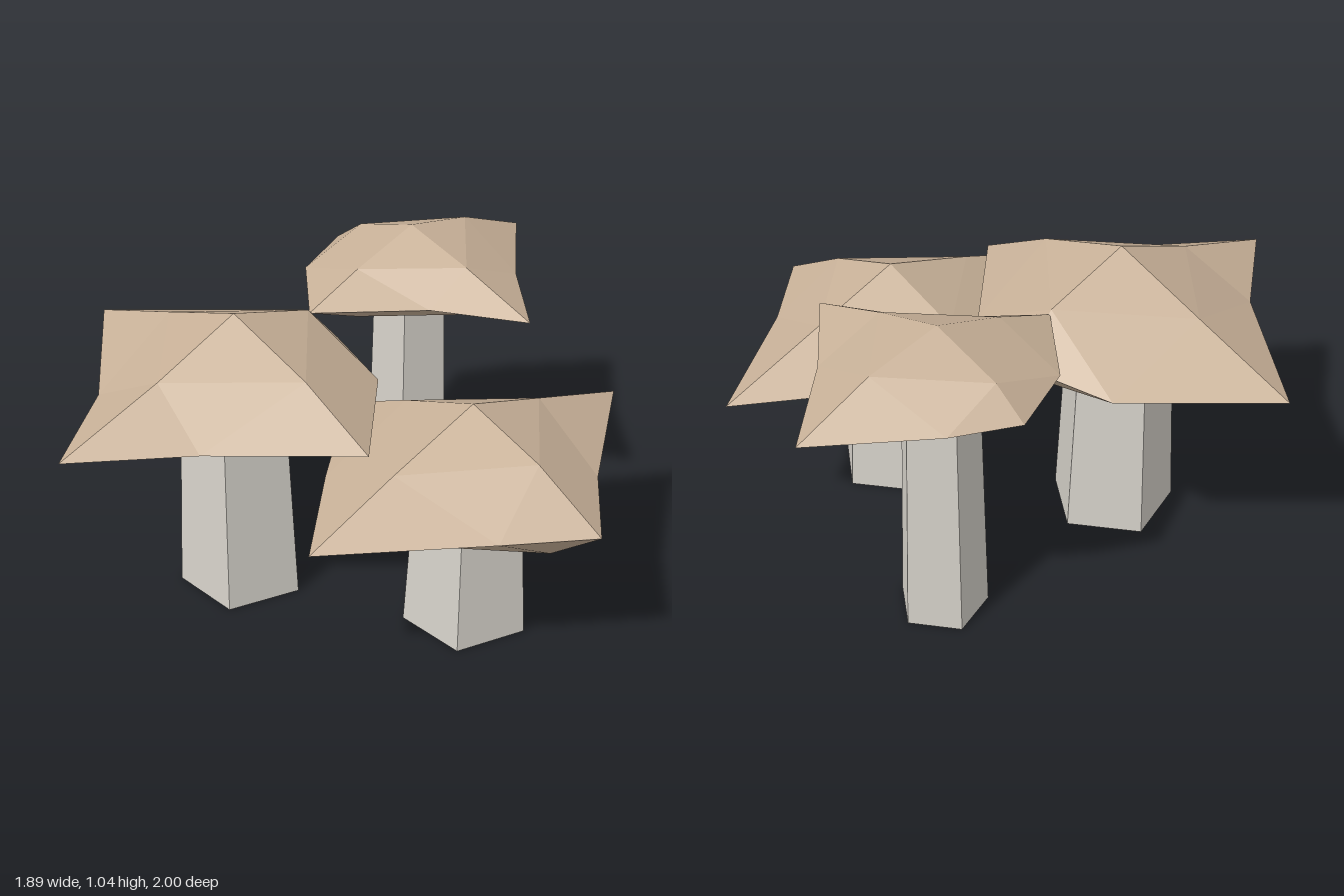
import * as THREE from 'three';

const capMaterial = new THREE.MeshStandardMaterial({ color: 0xc9b299, flatShading: true });
const stemMaterial = new THREE.MeshStandardMaterial({ color: 0xd6d2ca, flatShading: true });

// Each list runs round the cap: +x, +z, -x, -z (corners: between each and the next).
// tips: reach of the four rim points; corners: [x, z] of the rim between the tips;
// upper / lower: [reach, height] of the ridge points; rise / drop: the poles.
const mushrooms = [
  {
    name: 'frontMushroom', at: [-0.255, 0.74, 0.31], radius: 0.211, rise: 0.25, drop: 0.23,
    tips: [0.605, 0.69, 0.695, 0.44],
    corners: [[0.255, 0.36], [-0.245, 0.36], [-0.33, -0.38], [0.295, -0.34]],
    upper: [[0.33, 0.14], [0.31, 0.125], [0.33, 0.13], [0.31, 0.15]],
    lower: [[0.27, 0.13], [0.3, 0.13], [0.27, 0.13], [0.3, 0.13]],
  },
  {
    name: 'sideMushroom', at: [0.415, 0.56, -0.07], radius: 0.208, rise: 0.235, drop: 0.235,
    tips: [0.53, 0.685, 0.565, 0.695],
    corners: [[0.345, 0.245], [-0.28, 0.36], [-0.29, -0.26], [0.305, -0.25]],
    upper: [[0.275, 0.14], [0.34, 0.125], [0.29, 0.125], [0.31, 0.13]],
    lower: [[0.34, 0.15], [0.34, 0.125], [0.28, 0.13], [0.265, 0.15]],
  },
  {
    name: 'backMushroom', at: [-0.255, 0.875, -0.47], radius: 0.147, rise: 0.165, drop: 0.165,
    tips: [0.54, 0.465, 0.36, 0.53],
    corners: [[0.255, 0.17], [-0.255, 0.25], [-0.255, -0.2], [0.27, -0.23]],
    upper: [[0.255, 0.095], [0.25, 0.085], [0.245, 0.085], [0.26, 0.11]],
    lower: [[0.235, 0.085], [0.25, 0.09], [0.22, 0.085], [0.18, 0.085]],
  },
];

const directions = [[1, 0], [0, 1], [-1, 0], [0, -1]];

// Faceted cap: an uneven octahedron with every face split in four
function createCap({ tips, corners, upper, lower, rise, drop }) {
  const positions = [];
  const point = (i, reach, y) => [directions[i][0] * reach, y, directions[i][1] * reach];

  for (const side of [1, -1]) {
    const ridge = side > 0 ? upper : lower;
    const pole = [0, side > 0 ? rise : -drop, 0];
    const triangle = (a, b, c) => positions.push(...a, ...(side > 0 ? [...c, ...b] : [...b, ...c]));
    for (let i = 0; i < 4; i++) {
      const j = (i + 1) % 4;
      const ridgeA = point(i, ridge[i][0], side * ridge[i][1]);
      const ridgeB = point(j, ridge[j][0], side * ridge[j][1]);
      const corner = [corners[i][0], 0, corners[i][1]];
      triangle(pole, ridgeA, ridgeB);
      triangle(ridgeA, point(i, tips[i], 0), corner);
      triangle(ridgeB, corner, point(j, tips[j], 0));
      triangle(ridgeA, corner, ridgeB);
    }
  }

  const geometry = new THREE.BufferGeometry();
  geometry.setAttribute('position', new THREE.Float32BufferAttribute(positions, 3));
  geometry.computeVertexNormals();
  return new THREE.Mesh(geometry, capMaterial);
}

// Tapered five-sided stem with a shallow inset in its foot
function createStem(radius, height) {
  const profile = [[0, 0.015], [radius * 0.68, 0.015], [radius, 0], [radius * 0.84, height]];
  const points = profile.map(([r, y]) => new THREE.Vector2(r, y));
  return new THREE.Mesh(new THREE.LatheGeometry(points, 5, Math.PI), stemMaterial);
}

export function createModel() {
  const model = new THREE.Group();
  model.name = 'mushrooms';
  for (const spec of mushrooms) {
    const [x, y, z] = spec.at;
    const mushroom = new THREE.Group();
    mushroom.name = spec.name;
    mushroom.position.set(x, 0, z);

    const cap = createCap(spec);
    cap.name = 'cap';
    cap.position.y = y;
    const stem = createStem(spec.radius, y);
    stem.name = 'stem';

    mushroom.add(stem, cap);
    model.add(mushroom);
  }
  return model;
}
